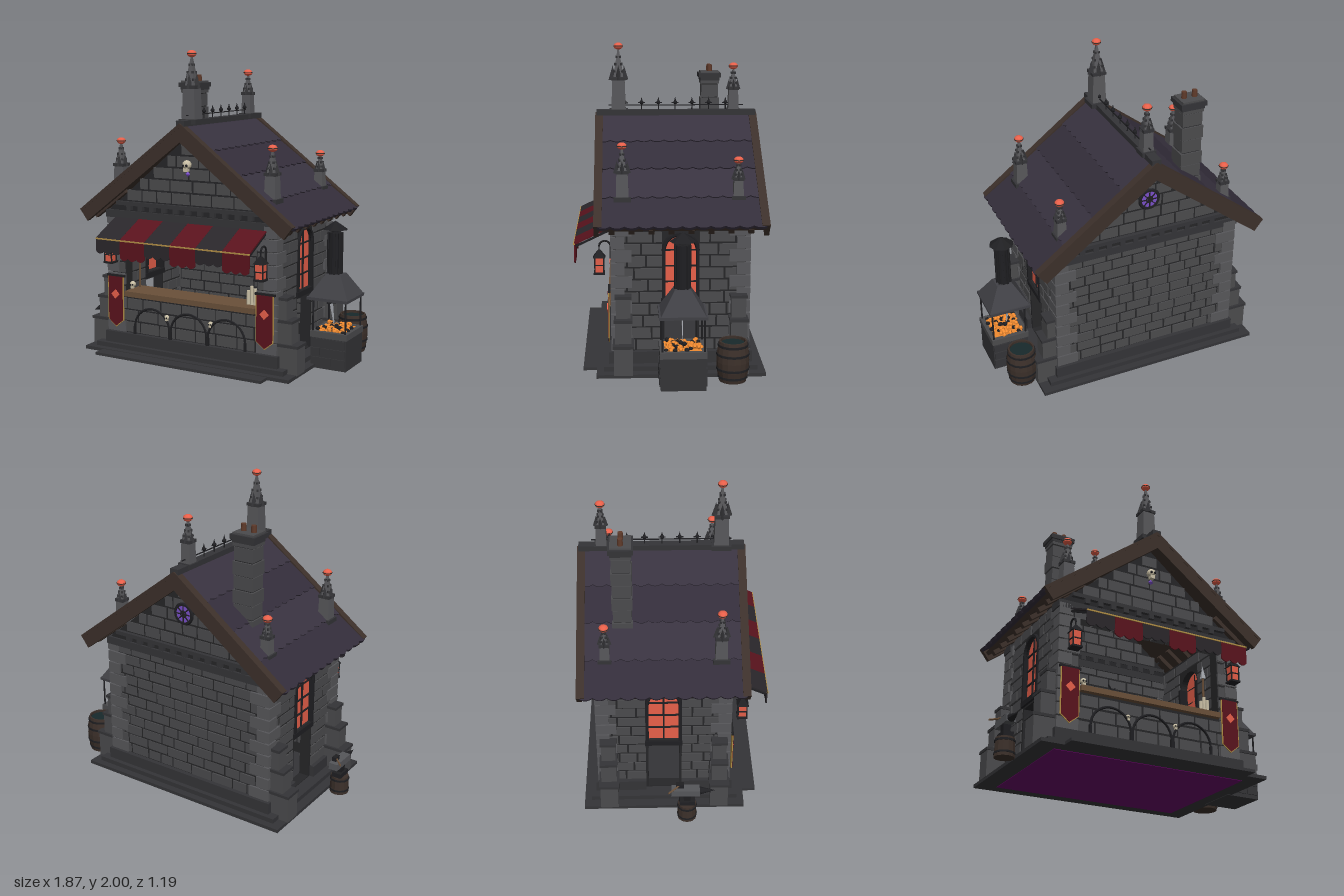
import * as THREE from 'three';
import { mergeGeometries } from 'three/addons/utils/BufferGeometryUtils.js';

const C = { stone: 0x4b4b4d, pale: 0x57575a, dark: 0x343437, mortar: 0x262628, roof: 0x38323f, roof2: 0x332d3a, beam: 0x3c302a, wood: 0x6a5039,
  iron: 0x1f1f22, red: 0x5a131d, black: 0x2a272b, gold: 0xb08d45, glow: 0xe8604a, ember: 0xf08a30, bone: 0xc9bfa5, steel: 0xa5a8ae, blue: 0x2c4478, purple: 0x7a4fc8 };
let seed = 7;
const rnd = () => (seed = (seed * 16807) % 2147483647) / 2147483647;

// Merge one or more geometries into a named mesh
function part(parent, name, geos, color, flat = true) {
  const list = [geos].flat().map(g => { const n = g.index ? g.toNonIndexed() : g; n.deleteAttribute('uv'); return n; });
  const mesh = new THREE.Mesh(mergeGeometries(list), new THREE.MeshStandardMaterial({ color, flatShading: flat, side: THREE.DoubleSide }));
  mesh.name = name;
  parent.add(mesh);
  return mesh;
}
function group(parent, name, x = 0, y = 0, z = 0, ry = 0) {
  const g = new THREE.Group();
  g.name = name; g.position.set(x, y, z); g.rotation.y = ry;
  parent.add(g);
  return g;
}
const box = (w, h, d, x = 0, y = 0, z = 0) => new THREE.BoxGeometry(w, h, d).translate(x, y, z);
const cyl = (r1, r2, h, x, y, z, n = 12) => new THREE.CylinderGeometry(r1, r2, h, n).translate(x, y, z);
// Square frustum: w1 is the top width, w2 the bottom width
const frustum = (w1, w2, h, x, y, z) => new THREE.CylinderGeometry(w1 * 0.7071, w2 * 0.7071, h, 4).rotateY(Math.PI / 4).translate(x, y, z);
const ball = (r, x, y, z, sy = 1) => new THREE.SphereGeometry(r, 12, 8).scale(1, sy, 1).translate(x, y, z);
const shape = pts => new THREE.Shape(pts.map(p => new THREE.Vector2(...p)));
const rect = (x0, y0, x1, y1) => shape([[x0, y0], [x1, y0], [x1, y1], [x0, y1]]);
const plate = (s, d, x = 0, y = 0, z = 0) => new THREE.ExtrudeGeometry(s, { depth: d, bevelEnabled: false, curveSegments: 10 }).translate(x, y, z);
function archShape(r, y0, y1) {
  const s = new THREE.Shape();
  s.moveTo(-r, y0); s.lineTo(r, y0); s.lineTo(r, y1); s.absarc(0, y1, r, 0, Math.PI); s.lineTo(-r, y0);
  return s;
}

// Staggered masonry; spans(y) gives the x intervals to fill in each course
function stones(y0, y1, rows, depth, spans) {
  const out = [], rh = (y1 - y0) / rows;
  for (let r = 0; r < rows; r++) {
    const y = y0 + (r + 0.5) * rh;
    for (const [a, b] of spans(y)) {
      for (let x = a, i = 0; x < b - 0.01; i++) {
        let l = i === 0 && r % 2 ? 0.07 : 0.1 + rnd() * 0.07;
        if (b - x - l < 0.06) l = b - x;
        out.push(box(Math.max(l - 0.012, 0.01), rh - 0.012, depth + rnd() * 0.016, x + l / 2, y));
        x += l;
      }
    }
  }
  return out;
}
function wall(parent, name, outline, holes, courses, x, z, ry) {
  const g = group(parent, name, x, 0, z, ry);
  outline.holes.push(...holes);
  part(g, name + 'Mortar', plate(outline, 0.07, 0, 0, -0.035), C.mortar);
  part(g, name + 'Stones', courses, C.stone);
  return g;
}

function skull(parent, x, y, z, r) {
  const g = group(parent, 'skull', x, y, z);
  part(g, 'skullBone', [ball(r, 0, 0, 0), box(r, r * 0.8, r, 0, -r, r * 0.2)], C.bone);
  part(g, 'eyeSockets', [-1, 1].map(s => ball(r * 0.28, s * r * 0.4, -r * 0.1, r * 0.85)), C.iron);
}

function pinnacle(parent, x, y, z, h, w) {
  const g = group(parent, 'pinnacle', x, y, z), b = h * 0.5;
  part(g, 'pinnacleShaft', [frustum(w * 0.85, w, b, 0, b / 2, 0), frustum(w * 0.1, w * 0.72, h * 0.42, 0, b + h * 0.2, 0)], C.pale);
  const trim = [box(w * 1.3, 0.03, w * 1.3, 0, 0.015, 0), box(w, 0.02, w, 0, b, 0)];
  for (let k = 0; k < 4; k++) {
    trim.push(new THREE.ConeGeometry(w * 0.3, w, 3).translate(0, b + w * 0.4, w * 0.38).rotateY(k * Math.PI / 2));
    for (let i = 1; i < 4; i++) trim.push(box(0.012, 0.014, 0.012, 0, b + h * 0.1 * i, w * (0.5 - 0.115 * i)).rotateY(Math.PI / 4 + k * Math.PI / 2));
  }
  part(g, 'pinnacleTrim', trim, C.dark);
  part(g, 'finialBall', ball(0.03, 0, h - 0.022, 0, 0.75), C.glow);
  part(g, 'finialBand', cyl(0.031, 0.031, 0.006, 0, h - 0.022, 0), C.beam);
}

function buildRoof(house) {
  const roof = group(house, 'roof'), ang = Math.atan2(0.59, 0.775), len = 0.974;
  for (const ry of [0, Math.PI]) {
    const pivot = group(roof, 'roofSide', 0, 1.545, 0, ry), side = group(pivot, 'roofSlope');
    side.rotation.z = -ang;
    // Overlapping courses with scalloped lower edges
    for (let i = 0; i < 4; i++) {
      const s = new THREE.Shape(), a = i * 0.24, b = a + 0.25, n = 12, st = 1.03 / n;
      s.moveTo(a, -0.515); s.lineTo(b, -0.515);
      for (let k = 0; k < n; k++) s.quadraticCurveTo(b + 0.03, -0.515 + (k + 0.5) * st, b, -0.515 + (k + 1) * st);
      s.lineTo(a, 0.515);
      const g = plate(s, 0.02).rotateX(Math.PI / 2).translate(-a, 0, 0).rotateZ(0.035).translate(a, -0.008, 0);
      part(side, 'roofCourse', g, i % 2 ? C.roof2 : C.roof);
    }
    part(side, 'roofDeck', box(len - 0.03, 0.025, 1.02, len / 2, -0.045, 0), C.beam);
    part(side, 'bargeBoards', [-1, 1].flatMap(s => [box(len, 0.09, 0.03, len / 2, -0.045, s * 0.512), box(len, 0.02, 0.05, len / 2, -0.005, s * 0.503)]), C.beam);
    const rafters = [];
    for (let i = 0; i < 8; i++) rafters.push(box(0.3, 0.035, 0.035, 0.81, -0.07, -0.42 + i * 0.12));
    part(side, 'rafters', rafters, C.beam);
  }
  part(roof, 'ridgeCap', box(0.06, 0.035, 1.04, 0, 1.548, 0), C.dark);
  const crest = [box(0.006, 0.006, 0.88, 0, 1.595, 0)];
  for (let i = 0; i < 7; i++) {
    const z = 0.335 - i * 0.11;
    crest.push(cyl(0.004, 0.004, 0.05, 0, 1.585, z, 6), ball(0.013, 0, 1.612, z), new THREE.ConeGeometry(0.009, 0.035, 6).translate(0, 1.632, z), box(0.006, 0.006, 0.045, 0, 1.61, z));
  }
  part(roof, 'ridgeCresting', crest, C.iron);
  pinnacle(roof, 0, 1.54, 0.375, 0.46, 0.095);
  pinnacle(roof, 0, 1.54, -0.375, 0.33, 0.07);
  for (const s of [-1, 1]) {
    pinnacle(roof, s * 0.56, 1.07, 0.355, 0.36, 0.08);
    pinnacle(roof, s * 0.56, 1.07, -0.355, 0.27, 0.065);
  }
  // Chimney with alternating courses
  const ch = group(roof, 'chimney', -0.35, 0, -0.245), rows = [];
  for (let i = 0; i < 8; i++) rows.push(box(0.135 + (i % 2) * 0.012, 0.083, 0.115 + (i % 2) * 0.012, 0, 1.12 + i * 0.09, 0));
  part(ch, 'chimneyStones', rows, C.stone);
  part(ch, 'chimneyCore', box(0.125, 0.7, 0.105, 0, 1.42, 0), C.mortar);
  part(ch, 'chimneyCap', [box(0.175, 0.03, 0.15, 0, 1.765, 0), box(0.155, 0.02, 0.13, 0, 1.74, 0)], C.dark);
  part(ch, 'chimneyPots', [-1, 1].map(s => cyl(0.016, 0.018, 0.06, s * 0.036, 1.805, 0)), 0x5f3a2a);
}

function buildWalls(house) {
  // Plinth and steps
  part(house, 'plinth', [box(1.52, 0.022, 1.04, 0, 0.014, 0), box(1.23, 0.018, 0.2, 0, 0.012, 0.505), box(1.4, 0.03, 0.95, 0, 0.04, 0)], C.dark);
  part(house, 'underside', box(1.28, 0.003, 0.86, 0, 0.0015, 0), 0x660066);
  part(house, 'wallFooting', [-1, 1].flatMap(s => [box(1.29, 0.08, 0.07, 0, 0.09, s * 0.41), box(0.07, 0.08, 0.27, s * 0.61, 0.09, 0.25), box(0.07, 0.08, 0.27, s * 0.61, 0.09, -0.25)]), C.dark);
  wall(house, 'frontWall', rect(-0.6, 0.05, 0.6, 0.95), [rect(-0.49, 0.4, 0.49, 0.88)],
    stones(0.13, 0.93, 10, 0.075, y => y > 0.4 && y < 0.86 ? [[-0.6, -0.49], [0.49, 0.6]] : [[-0.6, 0.6]]), 0, 0.38, 0);
  wall(house, 'backWall', rect(-0.6, 0.05, 0.6, 0.95), [], stones(0.13, 0.93, 11, 0.075, () => [[-0.6, 0.6]]), 0, -0.38, 0);
  for (const s of [-1, 1]) {
    const g = wall(house, 'sideWall', rect(-0.4, 0.05, 0.4, 0.98), [rect(-0.1, 0.06, 0.1, 0.42), archShape(0.1, 0.47, 0.77)],
      stones(0.13, 0.97, 11, 0.075, y => y < 0.43 || (y > 0.46 && y < 0.88) ? [[-0.4, -0.11], [0.11, 0.4]] : [[-0.4, 0.4]]), s * 0.58, 0, s * Math.PI / 2);
    part(g, 'windowGlass', plate(archShape(0.1, 0.47, 0.77), 0.01, 0, 0, 0.01), C.glow);
    part(g, 'windowFrame', [box(0.01, 0.39, 0.02, 0, 0.665, 0.02), ...[0.57, 0.67, 0.77].map(y => box(0.2, 0.008, 0.02, 0, y, 0.02)),
      box(0.24, 0.035, 0.1, 0, 0.45, 0), ...[-1, 1].map(k => box(0.02, 0.3, 0.1, k * 0.105, 0.62, 0)), new THREE.TorusGeometry(0.105, 0.014, 6, 16, Math.PI).translate(0, 0.77, 0.04)], C.iron);
  }
  // Corner quoins and stepped buttresses
  const quoins = [], stages = [], caps = [];
  for (const sx of [-1, 1]) for (const sz of [-1, 1]) {
    for (let i = 0; i < 10; i++) {
      const a = i % 2 ? 0.09 : 0.14, b = i % 2 ? 0.13 : 0.085;
      quoins.push(box(a, 0.072, b, sx * (0.632 - a / 2), 0.17 + i * 0.081, sz * (0.43 - b / 2)));
    }
    for (const [y0, y1, out, w] of [[0.02, 0.2, 0.765, 0.115], [0.2, 0.35, 0.722, 0.1], [0.35, 0.49, 0.685, 0.09]]) {
      stages.push(box(out - 0.55, y1 - y0, w, sx * (out + 0.55) / 2, (y0 + y1) / 2, sz * 0.355));
      caps.push(box(out - 0.54, 0.018, w + 0.015, sx * (out + 0.555) / 2, y1, sz * 0.355));
    }
  }
  part(house, 'quoins', quoins, C.pale);
  part(house, 'buttresses', stages, C.stone);
  part(house, 'buttressCaps', caps, C.dark);
  // Gables with cornice and corbels
  const half = y => (1.46 - y) / 0.762;
  for (const s of [-1, 1]) {
    const g = wall(house, 'gable', shape([[-0.62, 0.95], [0.62, 0.95], [0, 1.47]]), [],
      stones(1.02, 1.42, 5, 0.07, y => [[-half(y + 0.035), half(y + 0.035)]]), 0, s * 0.38, s > 0 ? 0 : Math.PI);
    const corbels = [box(1.28, 0.05, 0.1, 0, 0.93, 0), box(1.1, 0.025, 0.1, 0, 1.005, 0.01)];
    for (let i = 0; i < 11; i++) corbels.push(box(0.035, 0.035, 0.1, -0.45 + i * 0.09, 0.98, 0.01));
    part(g, 'cornice', corbels, C.dark);
    if (s > 0) {
      skull(g, 0, 1.285, 0.06, 0.03);
      part(g, 'gableGem', new THREE.OctahedronGeometry(0.018).translate(0, 1.225, 0.05), C.purple);
    } else {
      part(g, 'roseGlass', new THREE.CylinderGeometry(0.06, 0.06, 0.02, 20).rotateX(Math.PI / 2).translate(0, 1.25, 0.045), C.purple);
      const spokes = [new THREE.TorusGeometry(0.062, 0.012, 6, 20).translate(0, 1.25, 0.05), new THREE.TorusGeometry(0.02, 0.005, 6, 12).translate(0, 1.25, 0.056)];
      for (let i = 0; i < 4; i++) spokes.push(box(0.12, 0.006, 0.01).rotateZ(i * Math.PI / 4).translate(0, 1.25, 0.056));
      part(g, 'roseTracery', spokes, C.iron);
    }
  }
}

function sword(parent, x, y, z, tilt, l) {
  const g = group(parent, 'sword', x, y, z);
  g.rotation.z = tilt;
  part(g, 'blade', frustum(0.02, 0.006, l, 0, 0, 0).scale(1, 1, 0.4), C.steel);
  part(g, 'hilt', [box(0.06, 0.01, 0.012, 0, l / 2, 0), cyl(0.005, 0.005, 0.045, 0, l / 2 + 0.025, 0, 6)], C.iron);
}

function buildShopFront(house) {
  part(house, 'counter', box(0.97, 0.035, 0.2, 0, 0.4, 0.35), C.wood);
  // Iron arches and skulls below the counter
  const arches = [];
  for (const x of [-0.28, 0, 0.28]) {
    arches.push(new THREE.TorusGeometry(0.135, 0.008, 6, 16, Math.PI).translate(x, 0.18, 0.432));
    for (const s of [-1, 1]) arches.push(box(0.014, 0.09, 0.014, x + s * 0.135, 0.14, 0.432));
  }
  part(house, 'counterArches', arches, C.iron);
  for (const x of [-0.165, 0.165]) skull(house, x, 0.275, 0.43, 0.016);
  skull(house, -0.45, 0.46, 0.4, 0.02);
  part(house, 'candles', [0.09, 0.12, 0.105].map((h, i) => cyl(0.011, 0.011, h, 0.4 + i * 0.024, 0.417 + h / 2, 0.36)), C.bone);
  part(house, 'spears', [-0.46, 0.46].map(x => cyl(0.007, 0.007, 0.32, x, 0.56, 0.3, 6)), C.wood);
  part(house, 'spearHeads', [-0.46, 0.46].map(x => frustum(0, 0.028, 0.09, x, 0.74, 0.3)), C.steel);
  // Striped awning with hanging valance
  const aw = group(house, 'awning');
  for (let i = 0; i < 6; i++) {
    const x = -0.467 + i * 0.1867, c = i % 2 ? C.red : C.black, lo = i % 2 ? 0.69 : 0.72;
    const v = new THREE.Shape();
    v.moveTo(-0.093, 0.8); v.lineTo(-0.093, lo);
    for (let k = 0; k < 3; k++) v.quadraticCurveTo(-0.062 + k * 0.062, lo - 0.035, -0.031 + k * 0.062, lo);
    v.lineTo(0.093, 0.8);
    part(aw, 'awningStripe', [box(0.186, 0.01, 0.246).rotateX(0.445).translate(x, 0.852, 0.543), plate(v, 0.008, x, 0, 0.646)], c);
  }
  part(aw, 'awningTrim', box(1.12, 0.009, 0.012, 0, 0.8, 0.653), C.gold);
  part(aw, 'awningArms', [-0.55, 0.55].map(x => box(0.012, 0.012, 0.25).rotateX(0.445).translate(x, 0.84, 0.53)), C.iron);
  // Lanterns and banners on the corner piers
  for (const x of [-0.557, 0.557]) {
    const l = group(house, 'lantern', x, 0, 0.5);
    part(l, 'lanternLight', frustum(0.058, 0.046, 0.095, 0, 0.672, 0), C.glow);
    const iron = [box(0.068, 0.012, 0.068, 0, 0.618, 0), frustum(0.015, 0.075, 0.045, 0, 0.74, 0), cyl(0.004, 0.004, 0.05, 0, 0.78, 0, 6), box(0.062, 0.006, 0.062, 0, 0.67, 0),
      new THREE.TorusGeometry(0.035, 0.006, 6, 12, Math.PI).rotateY(Math.PI / 2).translate(0, 0.785, -0.035), box(0.012, 0.08, 0.012, 0, 0.75, -0.07)];
    for (const a of [-1, 1]) for (const b of [-1, 1]) iron.push(box(0.007, 0.1, 0.007, a * 0.027, 0.67, b * 0.027));
    part(l, 'lanternFrame', iron, C.iron);
    const b = group(house, 'banner', x, 0, 0.44);
    const flag = k => shape([[-k, 0.51], [-k, 0.215], [0, 0.165 + (0.062 - k)], [k, 0.215], [k, 0.51]]);
    part(b, 'bannerEdge', plate(flag(0.062), 0.006), C.gold);
    part(b, 'bannerCloth', plate(flag(0.055), 0.006, 0, 0, 0.003), C.red);
    part(b, 'bannerEmblem', box(0.045, 0.045, 0.006).rotateZ(Math.PI / 4).translate(0, 0.39, 0.011), C.glow);
    part(b, 'bannerRod', box(0.14, 0.014, 0.016, 0, 0.515, 0), C.iron);
  }
  // Shields and swords on the inner back wall
  for (const [x, c] of [[-0.325, C.blue], [0.325, C.red]]) {
    const g = group(house, 'shield', x, 0.65, -0.32), s = new THREE.Shape();
    s.moveTo(-0.11, 0.11); s.lineTo(0.11, 0.11); s.quadraticCurveTo(0.12, -0.06, 0, -0.13); s.quadraticCurveTo(-0.12, -0.06, -0.11, 0.11);
    part(g, 'shieldFace', plate(s, 0.015), c);
    part(g, 'shieldCross', [box(0.018, 0.23, 0.02, 0, -0.005, 0.01), box(0.2, 0.018, 0.02, 0, 0.03, 0.01)], C.gold);
    part(g, 'shieldBoss', ball(0.022, 0, 0.03, 0.02), C.iron);
  }
  for (const s of [-1, 1]) sword(house, s * 0.17, 0.68, -0.31, s * 0.6, 0.2);
}

function buildForge(root) {
  const f = group(root, 'forge', 0.81, 0, -0.065);
  part(f, 'forgeBase', [box(0.24, 0.2, 0.27, 0, 0.1, 0), ...stones(0.02, 0.2, 3, 0.275, () => [[-0.12, 0.12]])], C.dark);
  part(f, 'forgeRim', [-1, 1].flatMap(s => [box(0.25, 0.04, 0.03, 0, 0.22, s * 0.125), box(0.03, 0.04, 0.28, s * 0.11, 0.22, 0)]), C.stone);
  const coals = [[], []];
  for (let i = 0; i < 60; i++) coals[i % 3 ? 0 : 1].push(new THREE.DodecahedronGeometry(0.015).translate((rnd() - 0.5) * 0.19, 0.235 + rnd() * 0.015, (rnd() - 0.5) * 0.22));
  part(f, 'embers', [box(0.2, 0.03, 0.22, 0, 0.22, 0), ...coals[0]], C.ember);
  part(f, 'coals', coals[1], C.iron);
  part(f, 'hoodPosts', [-1, 1].flatMap(a => [-1, 1].map(b => cyl(0.006, 0.006, 0.23, a * 0.11, 0.34, b * 0.125, 6))), C.iron);
  part(f, 'hood', [frustum(0.1, 0.27, 0.14, -0.01, 0.525, 0), box(0.275, 0.018, 0.29, -0.012, 0.448, 0)], 0x404045);
  const flue = [cyl(0.045, 0.045, 0.28, -0.02, 0.72, 0), new THREE.ConeGeometry(0.08, 0.055, 8).translate(-0.02, 0.907, 0), cyl(0.02, 0.02, 0.03, -0.02, 0.87, 0)];
  for (let i = 0; i < 10; i++) flue.push(box(0.012, 0.28, 0.012, 0.045, 0, 0).rotateY(i * Math.PI / 5).translate(-0.02, 0.72, 0));
  part(f, 'flue', flue, C.iron);
  sword(f, -0.03, 0.33, 0, 0.15, 0.14);
  // Water barrel beside the forge
  const b = group(root, 'barrel', 0.795, 0.015, -0.37);
  const prof = [[0, 0], [0.083, 0], [0.097, 0.07], [0.1, 0.125], [0.097, 0.18], [0.085, 0.25], [0.075, 0.25], [0.075, 0.225]].map(p => new THREE.Vector2(...p));
  part(b, 'barrelStaves', new THREE.LatheGeometry(prof, 16), C.beam);
  part(b, 'barrelHoops', [[0.03, 0.09], [0.08, 0.099], [0.17, 0.099], [0.225, 0.091]].map(([y, r]) => cyl(r + 0.002, r + 0.002, 0.014, 0, y, 0, 16)), C.iron);
  part(b, 'water', cyl(0.076, 0.076, 0.004, 0, 0.232, 0, 16), 0x18292b);
}

function buildAnvil(root) {
  const a = group(root, 'anvilStand', -0.865, 0, 0.08);
  part(a, 'stump', cyl(0.058, 0.062, 0.12, 0, 0.06, 0, 12), C.beam);
  part(a, 'stumpHoops', [0.025, 0.1].map(y => cyl(0.064, 0.064, 0.012, 0, y, 0, 12)), C.iron);
  part(a, 'anvilBody', [box(0.065, 0.03, 0.1, 0, 0.135, 0), frustum(0.05, 0.04, 0.06, 0, 0.175, 0), new THREE.ConeGeometry(0.026, 0.1, 10).rotateX(Math.PI / 2).translate(0, 0.222, 0.13)], C.iron);
  part(a, 'anvilFace', box(0.06, 0.045, 0.18, 0, 0.222, -0.01), 0x55565a);
  part(a, 'hammerHandle', cyl(0.006, 0.006, 0.11, 0, 0, 0, 6).rotateZ(Math.PI / 2).rotateY(-0.8).translate(-0.025, 0.262, -0.08), C.wood);
  part(a, 'hammerHead', box(0.028, 0.028, 0.05, 0.01, 0.26, -0.045), C.iron);
}

export function createModel() {
  const root = new THREE.Group();
  root.name = 'forgeShop';
  const house = group(root, 'house', -0.04, 0, -0.065);
  buildWalls(house);
  buildRoof(house);
  buildShopFront(house);
  buildForge(root);
  buildAnvil(root);
  return root;
}
